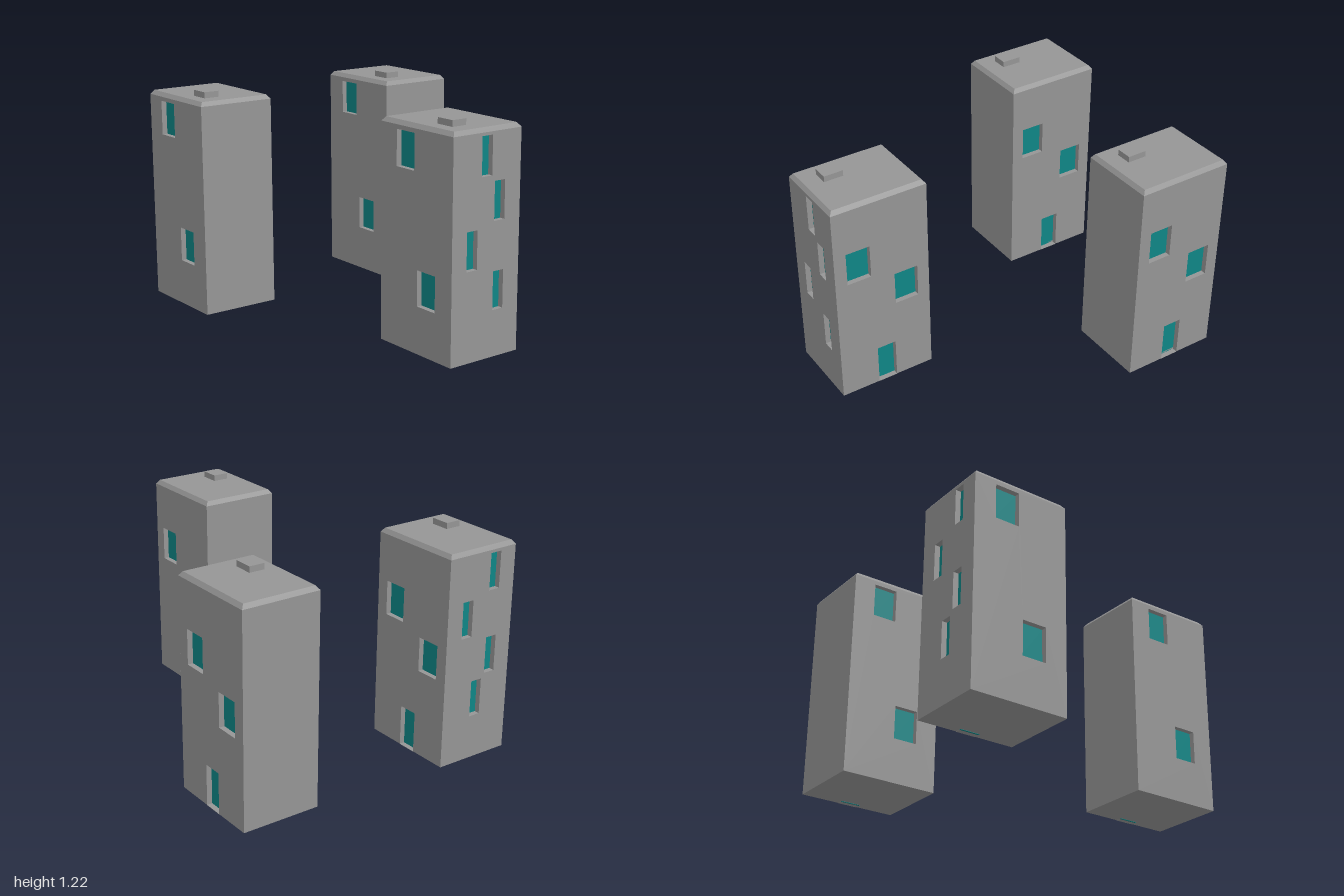
import * as THREE from 'three';

const W = 0.553, D = 0.443;            // tower footprint
const BASE = 0.002, EAVES = 1.164, TOP = 1.187;
const T = 0.03, BEVEL = 0.017;         // recess depth, roof bevel
const FLOORS = [0.351, 0.581, 0.813, 1.046]; // window centre heights

const grey = new THREE.MeshStandardMaterial({ color: 0x959595, flatShading: true });
const teal = new THREE.MeshStandardMaterial({ color: 0x0f8585, flatShading: true });

function add(parent, name, geometry, material, x = 0, y = 0, z = 0) {
  const mesh = new THREE.Mesh(geometry, material);
  mesh.name = name;
  mesh.position.set(x, y, z);
  parent.add(mesh);
  return mesh;
}

const win = (x, floor) => ({ x, y: FLOORS[floor], w: 0.138, h: 0.19 });
const slit = (x, floor) => ({ x, y: FLOORS[floor], w: 0.068, h: 0.203 });

// One wall facing local +z with its outer face at z = 0, pierced by openings
function makeWall(name, width, openings, door) {
  const wall = new THREE.Group();
  wall.name = name;
  const h = width / 2;
  const outline = [[-h, BASE]];
  if (door) {
    const d = door.w / 2;
    outline.push([-d, BASE], [-d, door.h], [d, door.h], [d, BASE]);
  }
  outline.push([h, BASE], [h, EAVES], [-h, EAVES]);
  const shape = new THREE.Shape(outline.map(([x, y]) => new THREE.Vector2(x, y)));
  for (const o of openings) {
    const x0 = o.x - o.w / 2, x1 = o.x + o.w / 2, y0 = o.y - o.h / 2, y1 = o.y + o.h / 2;
    shape.holes.push(new THREE.Path([[x0, y0], [x0, y1], [x1, y1], [x1, y0]]
      .map(([x, y]) => new THREE.Vector2(x, y))));
    add(wall, 'windowPane', new THREE.BoxGeometry(o.w, o.h, 0.01), teal, o.x, o.y, -T - 0.005);
  }
  add(wall, 'wallPanel', new THREE.ExtrudeGeometry(shape, { depth: T, bevelEnabled: false }), grey, 0, 0, -T);
  if (door) {
    add(wall, 'doorPanel', new THREE.BoxGeometry(door.w, door.h, 0.01), teal, 0, door.h / 2, -T - 0.005);
    add(wall, 'doorSill', new THREE.BoxGeometry(door.w, BASE, T), grey, 0, BASE / 2, -T / 2);
  }
  return wall;
}

// Roof slab whose top edge is drawn in to form the bevel
function roofGeometry() {
  const g = new THREE.BoxGeometry(W, TOP - EAVES, D);
  const p = g.attributes.position;
  for (let i = 0; i < p.count; i++) {
    if (p.getY(i) > 0) {
      p.setX(i, p.getX(i) - Math.sign(p.getX(i)) * BEVEL);
      p.setZ(i, p.getZ(i) - Math.sign(p.getZ(i)) * BEVEL);
    }
  }
  g.computeVertexNormals();
  return g;
}

function makeTower(name, x, z, leftSlits = [], rightSlits = []) {
  const tower = new THREE.Group();
  tower.name = name;
  tower.position.set(x, 0, z);

  const side = D - 2 * T;
  const front = makeWall('frontWall', W, [win(-0.083, 3), win(0.083, 0)]);
  front.position.z = D / 2;
  const back = makeWall('backWall', W, [win(-0.1375, 2), win(0.1375, 1)], { w: 0.11, h: 0.23 });
  back.position.z = -D / 2;
  back.rotation.y = Math.PI;
  const left = makeWall('leftWall', side, leftSlits);
  left.position.x = W / 2;
  left.rotation.y = Math.PI / 2;
  const right = makeWall('rightWall', side, rightSlits);
  right.position.x = -W / 2;
  right.rotation.y = -Math.PI / 2;
  tower.add(front, back, left, right);

  add(tower, 'floor', new THREE.BoxGeometry(W - 2 * T, 0.01, side), grey, 0, BASE + 0.005, 0);
  add(tower, 'roof', roofGeometry(), grey, 0, (EAVES + TOP) / 2, 0);
  add(tower, 'roofVent', new THREE.BoxGeometry(0.11, 0.035, 0.088), grey, 0.11, TOP + 0.0155, 0.088);
  return tower;
}

export function createModel() {
  const model = new THREE.Group();
  model.name = 'towerBlocks';
  model.add(
    makeTower('frontTower', -0.7235, 0.61, [],
      [slit(0, 0), slit(0.087, 1), slit(-0.087, 2), slit(0.087, 3)]),
    makeTower('backTower', -0.677, -0.61),
    makeTower('middleTower', 0.7235, 0.093,
      [slit(0.085, 0), slit(-0.092, 1), slit(0.085, 2), slit(-0.002, 3)]),
  );
  return model;
}
